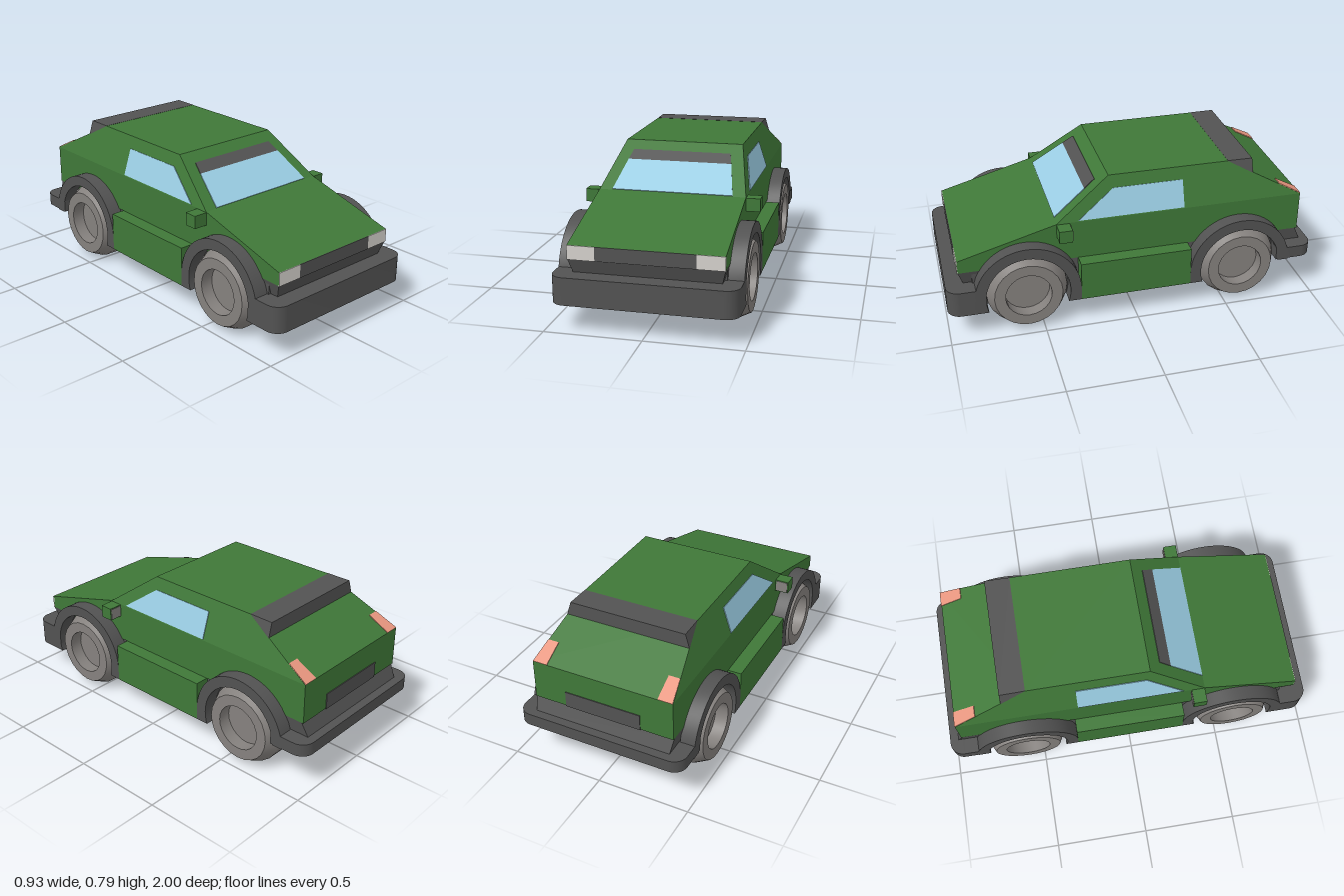
import * as THREE from 'three';
import { toCreasedNormals } from 'three/addons/utils/BufferGeometryUtils.js';
import { ConvexGeometry } from 'three/addons/geometries/ConvexGeometry.js';

const mat = (name, color) => {
  const m = new THREE.MeshStandardMaterial({ color });
  m.name = name;
  return m;
};

export function createModel() {
  const green = mat('green paint', 0x3f7838);
  const trim = mat('dark trim', 0x525252);
  const glass = mat('window glass', 0x9acde3);
  const lamp = mat('headlight', 0xd4d1cc);
  const tail = mat('tail light', 0xe8967f);
  const wheelGrey = mat('wheel grey', 0x85817e);

  const car = new THREE.Group();
  car.name = 'car';
  const add = (name, geometry, material) => {
    const mesh = new THREE.Mesh(geometry, material);
    mesh.name = name;
    car.add(mesh);
    return mesh;
  };
  const v = (p) => new THREE.Vector3(...p);
  const hull = (name, points, material) => add(name, new ConvexGeometry(points.map(v)), material);
  // symmetric solid from [halfWidth, y, z] corners
  const symmetric = (name, corners, material) =>
    hull(name, corners.flatMap(([x, y, z]) => [[x, y, z], [-x, y, z]]), material);
  const box = (name, x0, x1, y0, y1, z0, z1, material) => {
    const g = new THREE.BoxGeometry(x1 - x0, y1 - y0, z1 - z0);
    g.translate((x0 + x1) / 2, (y0 + y1) / 2, (z0 + z1) / 2);
    return add(name, g, material);
  };
  // thin plate straddling a flat quad
  const plate = (name, quad, material) => {
    const q = quad.map(v);
    const n = q[1].clone().sub(q[0]).cross(q[2].clone().sub(q[0])).setLength(0.004);
    const pts = q.flatMap((p) => [p.clone().add(n), p.clone().sub(n)]);
    return add(name, new ConvexGeometry(pts), material);
  };

  // Body shell and cabin
  symmetric('lowerBody', [
    [0.39, 0.36, 0.93], [0.39, 0.43, 0.93], [0.39, 0.575, 0.41],
    [0.39, 0.575, -0.93], [0.39, 0.36, -0.93],
  ], green);
  symmetric('cabin', [
    [0.39, 0.575, 0.41], [0.32, 0.787, 0.12], [0.32, 0.787, -0.53], [0.39, 0.575, -0.93],
  ], green);
  symmetric('rearSpoiler', [
    [0.32, 0.788, -0.53], [0.322, 0.788, -0.665], [0.345, 0.712, -0.667], [0.33, 0.712, -0.56],
  ], trim);

  // Underbody and the skirts below the front and rear panels
  box('underbody', -0.385, 0.385, 0.146, 0.365, -0.79, 0.86, trim);
  symmetric('frontValance', [
    [0.39, 0.36, 0.93], [0.37, 0.285, 0.905], [0.37, 0.285, 0.7], [0.39, 0.36, 0.7],
  ], trim);
  symmetric('rearValance', [
    [0.39, 0.36, -0.92], [0.38, 0.285, -0.955], [0.38, 0.285, -0.7], [0.39, 0.36, -0.7],
  ], trim);

  // Bumpers with rounded corners in plan
  const bumper = (name, inner, bottom, top, turn) => {
    const s = new THREE.Shape();
    s.moveTo(-0.465, inner);
    s.lineTo(0.465, inner);
    s.lineTo(0.465, 0.93);
    s.absarc(0.395, 0.93, 0.07, 0, Math.PI / 2, false);
    s.absarc(-0.395, 0.93, 0.07, Math.PI / 2, Math.PI, false);
    const g = new THREE.ExtrudeGeometry(s, { depth: top - bottom, bevelEnabled: false, curveSegments: 6 });
    g.rotateX(Math.PI / 2).translate(0, top, 0).rotateY(turn);
    add(name, toCreasedNormals(g, 0.4), trim);
  };
  bumper('frontBumper', 0.8, 0.145, 0.287, 0);
  bumper('rearBumper', 0.79, 0.22, 0.287, Math.PI);

  // Wheel arch: a ring with legs; the rear leg can be shorter
  const archGeometry = (rearLeg) => {
    const R = 0.28, r = 0.222, leg = -0.07, a = Math.asin(leg / r), b = Math.asin(rearLeg / r);
    const s = new THREE.Shape();
    s.moveTo(R, leg);
    s.lineTo(R, 0);
    s.absarc(0, 0, R, 0, Math.PI, false);
    s.lineTo(-R, rearLeg);
    s.absarc(0, 0, r, Math.PI - b, a, true);
    s.closePath();
    const g = new THREE.ExtrudeGeometry(s, { depth: 0.08, bevelEnabled: false, curveSegments: 16 });
    return toCreasedNormals(g.rotateY(-Math.PI / 2), 0.4);
  };

  // Wheel: chamfered tyre with a recessed hub
  const wheelProfile = [
    [0, 0.25], [0.215, 0.25], [0.215, 0.395], [0.18, 0.465], [0.122, 0.465], [0.122, 0.395], [0, 0.395],
  ].map(([x, y]) => new THREE.Vector2(x, y));
  const wheelGeometry = toCreasedNormals(
    new THREE.LatheGeometry(wheelProfile, 24).rotateZ(-Math.PI / 2), 0.4);

  for (const side of [1, -1]) {
    const label = side > 0 ? 'left' : 'right';
    for (const [end, z, rearLeg] of [['Front', 0.58, -0.07], ['Rear', -0.58, 0]]) {
      const arch = add(label + end + 'Arch', archGeometry(rearLeg), trim);
      arch.position.set(side > 0 ? 0.465 : -0.385, 0.215, z);
      const wheel = add(label + end + 'Wheel', wheelGeometry, wheelGrey);
      wheel.position.set(0, 0.215, z);
      if (side < 0) wheel.rotation.y = Math.PI;
    }

    // Sill and mirror
    const span = (a, b) => (side > 0 ? [a, b] : [-b, -a]);
    box(label + 'Sill', ...span(0.38, 0.465), 0.145, 0.36, -0.3, 0.3, green);
    box(label + 'Mirror', ...span(0.38, 0.465), 0.503, 0.572, 0.34, 0.41, green);
    box(label + 'MirrorGlass', ...span(0.395, 0.46), 0.508, 0.567, 0.337, 0.342, wheelGrey);

    // Side window lying on the sloped cabin side
    const wallX = (y) => side * (0.39 - (y - 0.575) * 0.07 / 0.212);
    plate(label + 'SideWindow',
      [[0.58, 0.295], [0.722, 0.1], [0.722, -0.275], [0.58, -0.275]].map(([y, z]) => [wallX(y), y, z]), glass);

    // Lights
    box(label + 'Headlight', ...span(0.25, 0.39), 0.358, 0.43, 0.926, 0.934, lamp);
    const slopeY = (z) => 0.575 + (z + 0.93) * 0.53;
    plate(label + 'TailLight',
      [[0.308, -0.93], [0.388, -0.93], [0.369, -0.812], [0.308, -0.812]]
        .map(([x, z]) => [side * x, slopeY(z), z]), tail);
  }

  // Windscreen with a dark band above it
  const screen = (x0, y0, x1, y1) =>
    [[-x0, y0], [x0, y0], [x1, y1], [-x1, y1]].map(([x, y]) => [x, y, 0.41 - (y - 0.575) * 0.29 / 0.212]);
  plate('windscreen', screen(0.32, 0.577, 0.28, 0.702), glass);
  plate('windscreenBand', screen(0.28, 0.702, 0.265, 0.744), trim);

  // Grille and rear panel
  box('grille', -0.25, 0.25, 0.358, 0.43, 0.926, 0.934, trim);
  box('rearPanel', -0.21, 0.21, 0.358, 0.445, -0.934, -0.926, trim);

  return car;
}
